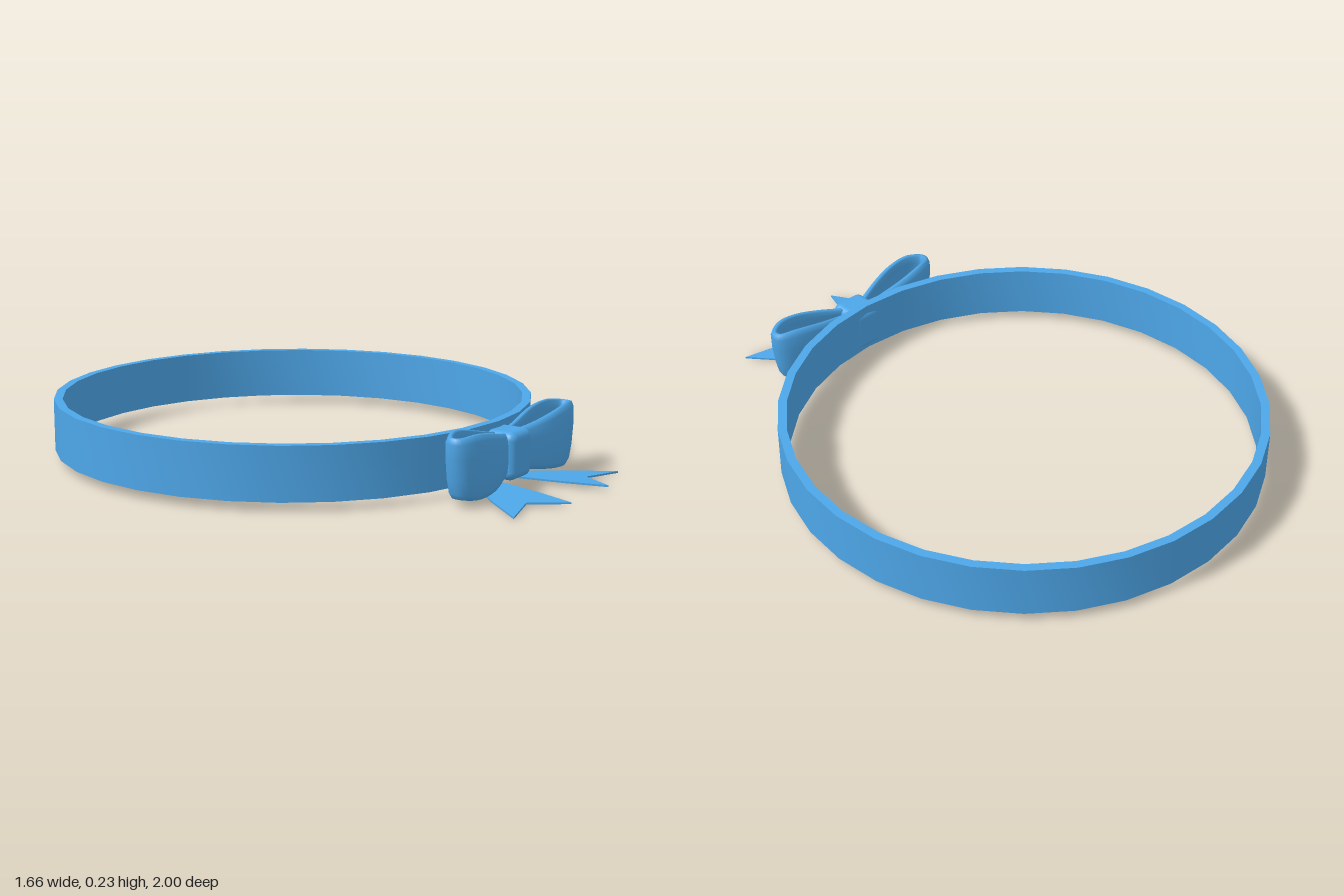
import * as THREE from 'three';
import { toCreasedNormals } from 'three/addons/utils/BufferGeometryUtils.js';
import { RoundedBoxGeometry } from 'three/addons/geometries/RoundedBoxGeometry.js';

const V = (x, y) => new THREE.Vector2(x, y);

// Flat hoop with sharp rims
function hoopGeometry() {
  const profile = [V(0.83, 0.03), V(0.83, 0.21), V(0.8, 0.21), V(0.8, 0.03), V(0.83, 0.03)];
  return toCreasedNormals(new THREE.LatheGeometry(profile, 32), 0.6);
}

// Ribbon loop: a padded band swept from the knot out to the tip and back
function loopGeometry() {
  const path = new THREE.CatmullRomCurve3([
    [0.03, 0.668], [0.1, 0.662], [0.2, 0.655], [0.29, 0.667], [0.34, 0.692],
    [0.342, 0.722], [0.3, 0.746], [0.22, 0.752], [0.13, 0.736], [0.03, 0.7],
  ].map(([x, z]) => new THREE.Vector3(x, 0, z)));
  // Band section: [outward offset, height from -1 to 1]
  const section = [
    [0.006, -0.97], [0.014, -0.8], [0.018, -0.35], [0.018, 0.35], [0.014, 0.8], [0.006, 0.97],
    [-0.003, 1], [-0.011, 0.95], [-0.01, 0.7], [-0.004, 0], [-0.01, -0.7], [-0.011, -0.95], [-0.003, -1],
  ];
  const steps = 40, n = section.length, pos = [], index = [];
  for (let i = 0; i <= steps; i++) {
    const p = path.getPoint(i / steps), t = path.getTangent(i / steps);
    const u = THREE.MathUtils.smoothstep(p.x, -0.02, 0.3);
    const tip = THREE.MathUtils.smoothstep(p.x, 0.28, 0.38);
    const half = 0.065 + 0.043 * u - 0.01 * tip;
    const mid = 0.114 + 0.012 * u;
    for (const [out, h] of section) {
      // Outward is up x tangent; the band leans outward towards its top
      pos.push(p.x + t.z * out + 0.014 * h * u, mid + h * half, p.z - t.x * out);
    }
  }
  for (let i = 0; i < steps; i++) {
    for (let j = 0; j < n; j++) {
      const a = i * n + j, b = i * n + (j + 1) % n;
      index.push(a, b, a + n, b, b + n, a + n);
    }
  }
  const geo = new THREE.BufferGeometry();
  geo.setAttribute('position', new THREE.Float32BufferAttribute(pos, 3));
  geo.setIndex(index);
  geo.computeVertexNormals();
  return geo;
}

// Flat ribbon tail with a notched end, sloping slightly down to the side
function tailGeometry() {
  const outline = [
    V(0.04, 0.67), V(0.1, 0.665), V(0.17, 0.705), V(0.235, 0.77), V(0.35, 0.918),
    V(0.2, 0.877), V(0.127, 0.995), V(0.085, 0.86), V(0.06, 0.76),
  ];
  const geo = new THREE.ExtrudeGeometry(new THREE.Shape(outline), { depth: 0.006, bevelEnabled: false });
  geo.rotateX(Math.PI / 2);
  const p = geo.attributes.position;
  for (let i = 0; i < p.count; i++) p.setY(i, p.getY(i) + 0.022 - 0.045 * (p.getX(i) - 0.04));
  geo.computeVertexNormals();
  return geo;
}

// Knot: rounded block, pinched a little at half height
function knotGeometry() {
  const geo = new RoundedBoxGeometry(0.13, 0.16, 0.13, 5, 0.028);
  const p = geo.attributes.position;
  for (let i = 0; i < p.count; i++) {
    const k = p.getY(i) / 0.08;
    p.setX(i, p.getX(i) * (0.94 + 0.08 * k * k));
  }
  return geo;
}

export function createModel() {
  const material = new THREE.MeshStandardMaterial({ color: 0x4da6e8 });
  const model = new THREE.Group();
  model.name = 'ribbonBand';
  const add = (parent, name, geo) => {
    const mesh = new THREE.Mesh(geo, material);
    mesh.name = name;
    parent.add(mesh);
    return mesh;
  };

  add(model, 'hoop', hoopGeometry()).position.z = -0.172;

  const bow = new THREE.Group();
  bow.name = 'bow';
  model.add(bow);
  add(bow, 'knot', knotGeometry()).position.set(0, 0.11, 0.687);

  // Loops and tails, mirrored left and right
  const loop = loopGeometry(), tail = tailGeometry();
  for (const [side, s] of [['left', 1], ['right', -1]]) {
    add(bow, side + 'Loop', loop).scale.x = s;
    add(bow, side + 'Tail', tail).scale.x = s;
  }
  return model;
}
